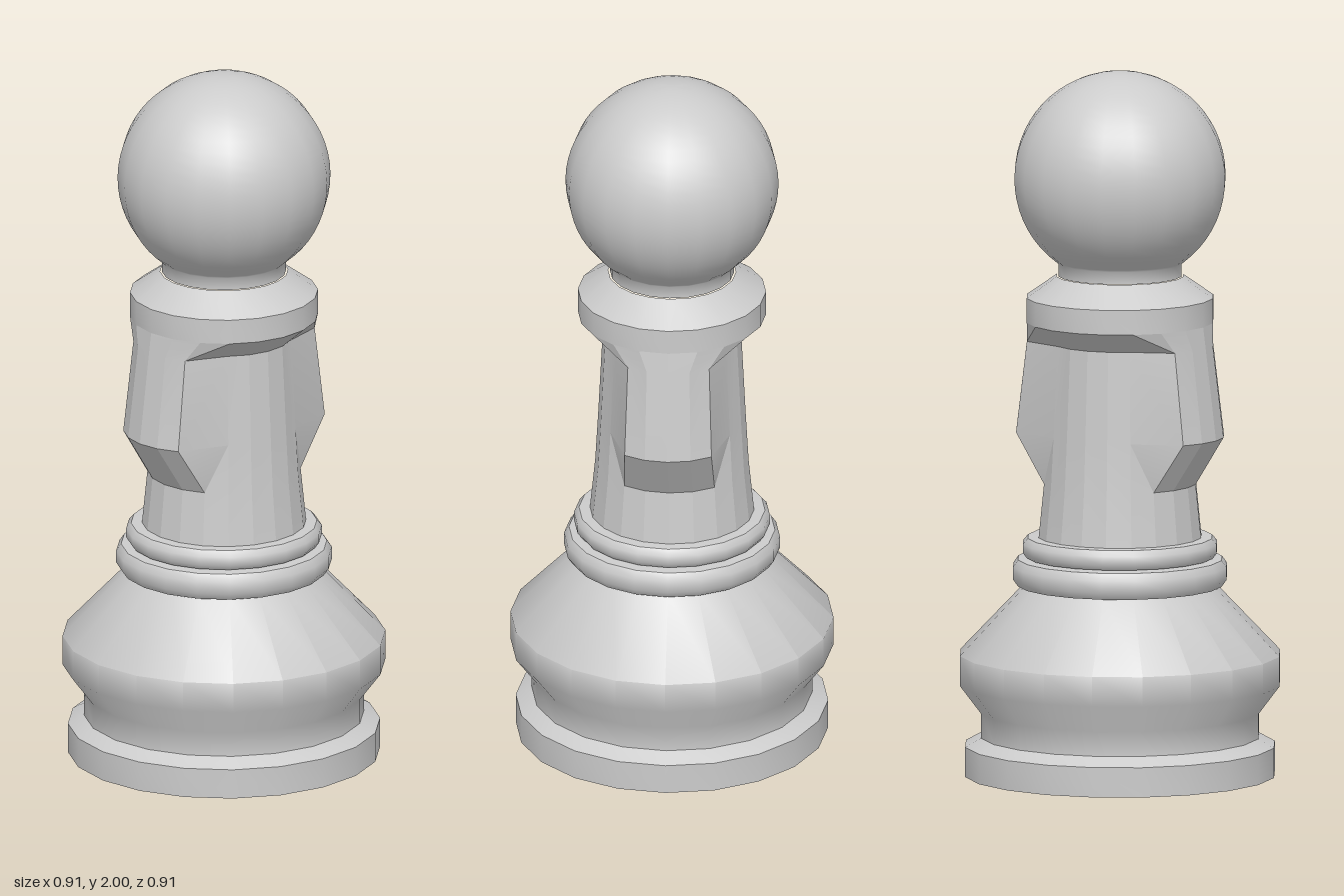
import * as THREE from 'three';
import { toCreasedNormals } from 'three/addons/utils/BufferGeometryUtils.js';

const SIDES = 20;

export function createModel() {
  const group = new THREE.Group();
  const material = new THREE.MeshStandardMaterial({ color: 0xcccccc });

  function add(name, geometry, crease) {
    const mesh = new THREE.Mesh(toCreasedNormals(geometry, crease), material);
    mesh.name = name;
    group.add(mesh);
  }
  // Turned part from [radius, height] pairs, listed bottom to top
  function turned(name, profile, crease = 0.8) {
    const points = profile.map(([r, y]) => new THREE.Vector2(r, y));
    add(name, new THREE.LatheGeometry(points, SIDES), crease);
  }

  turned('base', [
    [0, 0], [0.44, 0], [0.44, 0.085], [0.395, 0.11], [0.395, 0.18],
    [0.455, 0.26], [0.455, 0.345], [0.27, 0.54],
  ]);
  turned('lowerRing', [
    [0.26, 0.54], [0.29, 0.54], [0.304, 0.56], [0.304, 0.595], [0.29, 0.615], [0.25, 0.618],
  ]);
  turned('upperRing', [
    [0.25, 0.618], [0.265, 0.62], [0.276, 0.635], [0.276, 0.66], [0.262, 0.676], [0.22, 0.678],
  ]);
  add('stem', stemGeometry(), 0.25);
  turned('collar', [[0.265, 1.29], [0.265, 1.36], [0.18, 1.42]], 0.6);

  // Neck flowing into the ball
  const ball = [[0.175, 1.42], [0.175, 1.455]];
  const start = -0.92;
  for (let i = 0; i <= 24; i++) {
    const a = start + (Math.PI / 2 - start) * (i / 24);
    ball.push([i === 24 ? 0 : 0.3 * Math.cos(a), 1.7 + 0.3 * Math.sin(a)]);
  }
  turned('head', ball, 1);

  return group;
}

// Tapered stem whose front and back faces are pushed outwards; rows are [radius, y, push]
function stemGeometry() {
  const rows = [
    [0.232, 0.67, 0], [0.216, 0.83, 0], [0.208, 0.97, 0.098], [0.195, 1.23, 0.078], [0.265, 1.29, 0],
  ];
  const positions = [];
  const index = [];
  for (const [r, y, push] of rows) {
    for (let i = 0; i < SIDES; i++) {
      const a = (i / SIDES) * Math.PI * 2;
      const c = Math.cos(a);
      const offset = Math.abs(c) > 0.7 ? Math.sign(c) * push : 0;
      positions.push(r * Math.sin(a), y, r * c + offset);
    }
  }
  for (let j = 0; j < rows.length - 1; j++) {
    for (let i = 0; i < SIDES; i++) {
      const next = (i + 1) % SIDES;
      const a = j * SIDES + i, b = j * SIDES + next;
      const c = b + SIDES, d = a + SIDES;
      // Diagonals mirror from quadrant to quadrant
      if (Math.floor(i / 5) % 2 === 0) index.push(a, b, c, a, c, d);
      else index.push(a, b, d, b, c, d);
    }
  }
  const geometry = new THREE.BufferGeometry();
  geometry.setAttribute('position', new THREE.Float32BufferAttribute(positions, 3));
  geometry.setIndex(index);
  return geometry;
}
